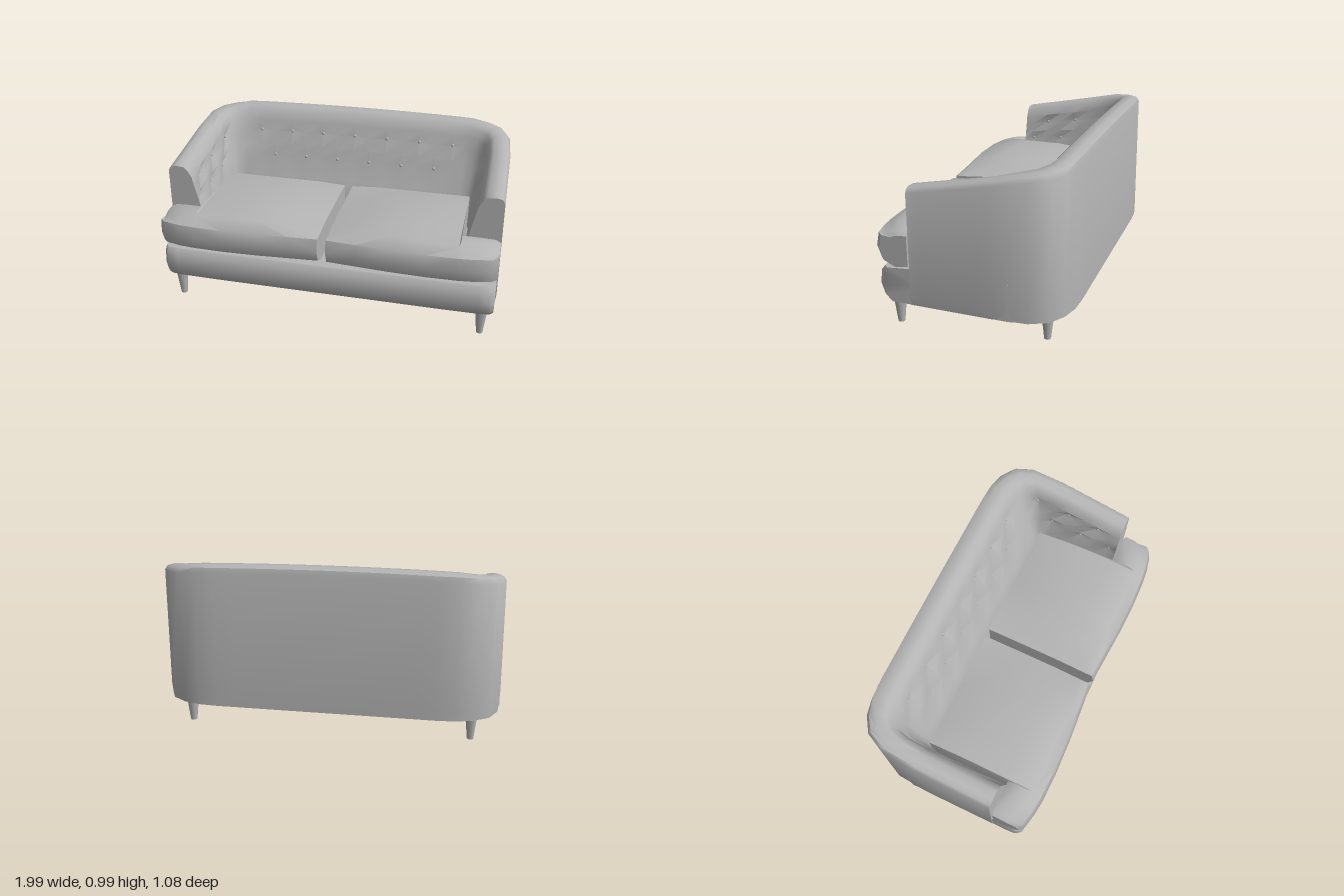
import * as THREE from 'three';
import { toCreasedNormals } from 'three/addons/utils/BufferGeometryUtils.js';

const lerp = THREE.MathUtils.lerp;

// Closed solid through a row of equal-length rings of [x, y, z], capped at both ends
function loft(rings, crease) {
  const n = rings[0].length;
  const pts = rings.flat().map((p) => new THREE.Vector3(...p));
  const idx = [];
  for (let i = 0; i < rings.length - 1; i++) {
    for (let j = 0; j < n; j++) {
      const a = i * n + j, b = i * n + (j + 1) % n;
      idx.push(a, b, a + n, b, b + n, a + n);
    }
  }
  for (const start of [0, (rings.length - 1) * n]) {
    const centre = new THREE.Vector3();
    for (let j = 0; j < n; j++) centre.addScaledVector(pts[start + j], 1 / n);
    const c = pts.push(centre) - 1;
    for (let j = 0; j < n; j++) {
      const a = start + j, b = start + (j + 1) % n;
      if (start === 0) idx.push(b, a, c);
      else idx.push(a, b, c);
    }
  }
  // Turn the faces outward if the signed volume is negative
  let volume = 0;
  for (let i = 0; i < idx.length; i += 3) {
    volume += pts[idx[i]].dot(pts[idx[i + 1]].clone().cross(pts[idx[i + 2]]));
  }
  if (volume < 0) idx.reverse();
  const g = new THREE.BufferGeometry().setFromPoints(pts);
  g.setIndex(idx);
  return toCreasedNormals(g, crease);
}

// Stations of the wrap-around wall, from the middle of the back to the arm front:
// o = outer edge, t = inner top edge, b = inner foot, h = height, rim = outer edge drop
function wallStations() {
  const s = [];
  for (let k = 0; k <= 6; k++) {
    const x = k * 0.105;
    s.push({ o: [x, -0.54], t: [x, -0.4], b: [x, -0.2], h: 0.988 - 0.008 * (k / 6) ** 2, rim: 0.028 });
  }
  s.push({ o: [0.74, -0.533], t: [0.72, -0.4], b: [0.7, -0.2], h: 0.977, rim: 0.026 });
  s.push({ o: [0.84, -0.505], t: [0.79, -0.38], b: [0.74, -0.2], h: 0.965, rim: 0.022 });
  s.push({ o: [0.925, -0.45], t: [0.84, -0.34], b: [0.765, -0.19], h: 0.954, rim: 0.018 });
  s.push({ o: [0.975, -0.35], t: [0.86, -0.27], b: [0.775, -0.17], h: 0.94, rim: 0.015 });
  for (const z of [-0.15, -0.05, 0.05, 0.15, 0.25, 0.305]) {
    s.push({ o: [0.99, z], t: [0.868, z], b: [0.78, z], h: 0.815 + (0.3 - z) * 0.195, rim: 0.015 });
  }
  return s;
}

// One ring of the wall; the button rows are pulled in for the tufting
function wallRing(s, k, buttons) {
  const { o, t, b, h, rim } = s;
  const top = (f, y) => [lerp(o[0], t[0], f), y, lerp(o[1], t[1], f)];
  const ring = [
    [o[0] * 1.0, 0.15, o[1]],
    [o[0] * 1.005, 0.2, o[1]],
    [o[0], h - rim - 0.015, o[1] + (k < 8 ? 0.008 : 0)],
    top(0.12, h - rim * 0.5),
    top(0.4, h),
    top(0.8, h - 0.005),
  ];
  const dir = new THREE.Vector2(o[0] - b[0], o[1] - b[1]).normalize();
  const tuftable = k <= 6 || (k >= 10 && k <= 15);
  for (const f of [1, 0.9, 0.77, 0.63, 0.5, 0.3, 0]) {
    const tuft = tuftable && ((f === 0.77 && k % 2 === 0) || (f === 0.5 && k % 2 === 1));
    const push = tuft ? 0.022 : f === 1 || f === 0 ? 0 : -0.012;
    const p = [
      lerp(b[0], t[0], f) + dir.x * push,
      0.4 + (h - 0.43) * f,
      lerp(b[1], t[1], f) + dir.y * push,
    ];
    ring.push(p);
    if (tuft) buttons.push(p);
  }
  ring.push([b[0], 0.16, b[1]]);
  return ring;
}

// Seat cushion that widens in front of the arm
function cushionGeometry() {
  // x, back z, front z, top y
  const sections = [
    [0.025, -0.2, 0.51, 0.555],
    [0.2, -0.2, 0.522, 0.59],
    [0.38, -0.2, 0.535, 0.612],
    [0.6, -0.2, 0.542, 0.606],
    [0.77, -0.2, 0.538, 0.592],
    [0.776, 0.312, 0.538, 0.592],
    [0.87, 0.312, 0.528, 0.58],
    [0.96, 0.312, 0.508, 0.562],
    [0.99, 0.315, 0.48, 0.545],
  ];
  return loft(sections.map(([x, b, f, t]) => {
    const at = (u) => lerp(b, f - 0.08, u);
    return [
      [x, 0.37, b], [x, Math.min(t, 0.565), b], [x, t, at(0.35)], [x, t - 0.004, at(0.75)],
      [x, t - 0.018, f - 0.07], [x, 0.535, f - 0.015], [x, 0.46, f],
      [x, 0.39, f - 0.025], [x, 0.36, f - 0.09],
    ];
  }), 0.75);
}

// Base with a rounded front rail
function baseGeometry() {
  // x, back z, front z
  const half = [[0.3, -0.53, 0.505], [0.7, -0.52, 0.505], [0.9, -0.44, 0.502], [0.965, -0.33, 0.495], [0.988, -0.25, 0.47]];
  const all = [...half.map(([x, ...r]) => [-x, ...r]).reverse(), ...half];
  return loft(all.map(([x, b, f]) => [
    [x, 0.15, b], [x, 0.15, f - 0.05], [x, 0.18, f - 0.02], [x, 0.24, f], [x, 0.32, f - 0.008],
    [x, 0.348, f - 0.03], [x, 0.36, 0.3], [x, 0.36, b],
  ]), 0.75);
}

export function createModel() {
  const sofa = new THREE.Group();
  sofa.name = 'sofa';
  const grey = new THREE.MeshStandardMaterial({ color: 0xb4b4b4 });
  grey.name = 'grey fabric';
  const add = (geometry, name, parent = sofa) => {
    const mesh = new THREE.Mesh(geometry, grey);
    mesh.name = name;
    parent.add(mesh);
    return mesh;
  };

  // Back and arms in one wrap-around wall
  const halfButtons = [];
  const half = wallStations().map((s, k) => wallRing(s, k, halfButtons));
  const mirrored = half.slice(1).reverse().map((r) => r.map(([x, y, z]) => [-x, y, z]));
  add(loft([...mirrored, ...half], 0.8), 'backAndArms');

  // Tufting buttons
  const buttons = new THREE.Group();
  buttons.name = 'buttons';
  sofa.add(buttons);
  const buttonGeometry = new THREE.SphereGeometry(0.011, 8, 6);
  for (const [x, y, z] of halfButtons) {
    for (const side of x > 0 ? [1, -1] : [1]) {
      add(buttonGeometry, 'button', buttons).position.set(x * side, y, z);
    }
  }

  add(baseGeometry(), 'base');

  // Two seat cushions
  const right = cushionGeometry();
  add(right, 'leftCushion');
  const turned = right.clone();
  turned.scale(-1, 1, 1);
  // Mirroring reverses the corners, so swap two of each face
  for (const key of ['position', 'normal']) {
    const a = turned.attributes[key];
    for (let i = 0; i < a.count; i += 3) {
      const p = new THREE.Vector3().fromBufferAttribute(a, i);
      const q = new THREE.Vector3().fromBufferAttribute(a, i + 1);
      a.setXYZ(i, q.x, q.y, q.z);
      a.setXYZ(i + 1, p.x, p.y, p.z);
    }
  }
  add(turned, 'rightCushion');

  // Tapered legs, the rear pair set further in
  const legGeometry = new THREE.CylinderGeometry(0.037, 0.019, 0.16, 10);
  for (const side of [1, -1]) {
    add(legGeometry, 'frontLeg').position.set(0.92 * side, 0.08, 0.41);
    add(legGeometry, 'backLeg').position.set(0.828 * side, 0.08, -0.41);
  }
  return sofa;
}
